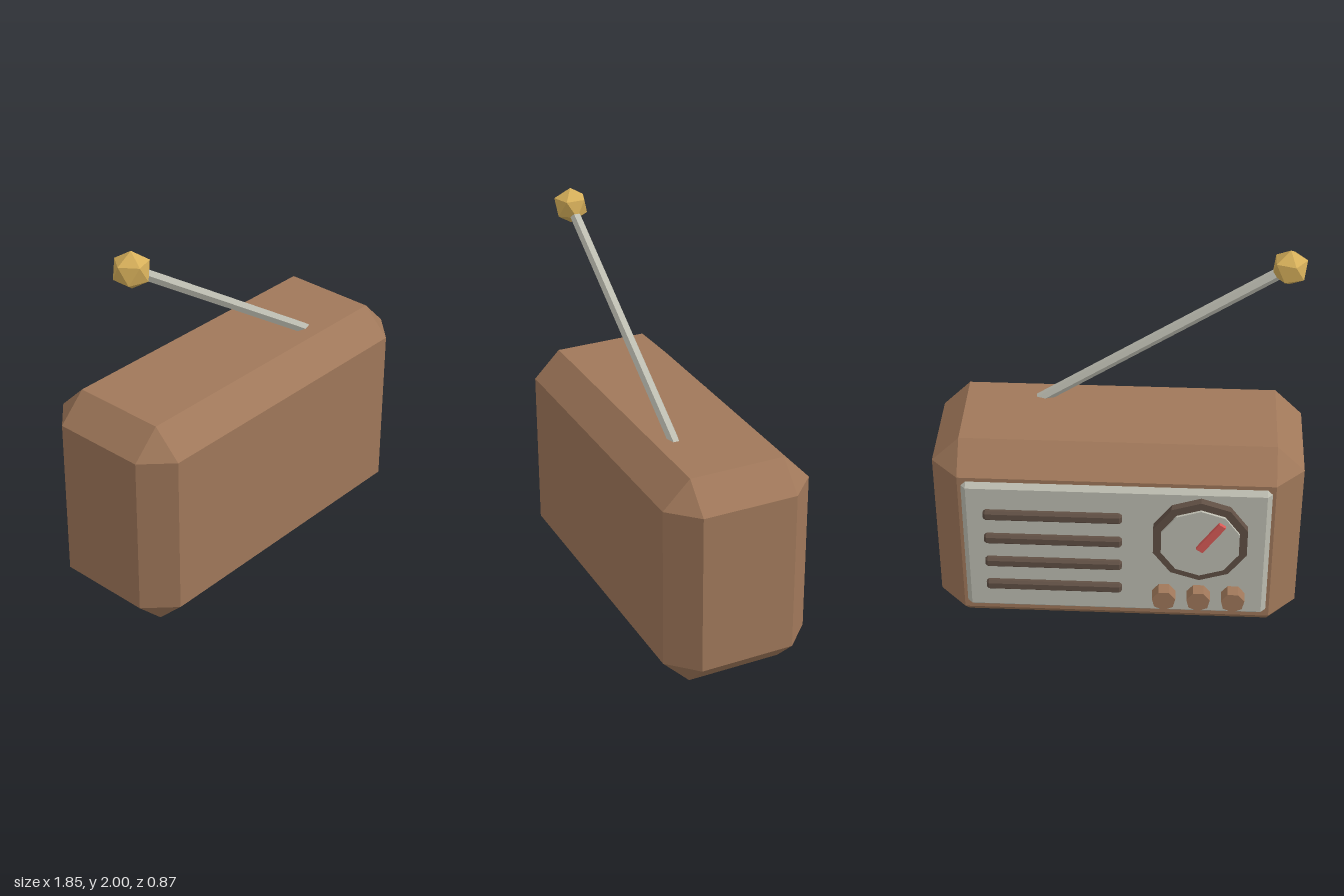
import * as THREE from 'three';
import { ConvexGeometry } from 'three/addons/geometries/ConvexGeometry.js';

const mat = (name, color) => {
  const m = new THREE.MeshStandardMaterial({ color, flatShading: true });
  m.name = name;
  return m;
};

// Box with every edge and corner cut at 45 degrees
function chamferBox(w, h, d, c) {
  const [x, y, z] = [w / 2, h / 2, d / 2];
  const pts = [];
  for (const i of [-1, 1]) for (const j of [-1, 1]) for (const k of [-1, 1]) {
    pts.push(
      new THREE.Vector3(i * x, j * (y - c), k * (z - c)),
      new THREE.Vector3(i * (x - c), j * y, k * (z - c)),
      new THREE.Vector3(i * (x - c), j * (y - c), k * z));
  }
  return new ConvexGeometry(pts);
}

// Disc whose axis runs along z
const disc = (r, depth, sides) => new THREE.CylinderGeometry(r, r, depth, sides).rotateX(Math.PI / 2);

export function createModel() {
  const group = new THREE.Group();
  const wood = mat('brown wood', 0xa0785a);
  const metal = mat('pale grey metal', 0xbebeb2);
  const dark = mat('dark brown', 0x604f44);
  const gold = mat('gold', 0xd6af5a);
  const red = mat('red', 0xd85a56);

  const add = (name, geometry, material, x, y, z) => {
    const mesh = new THREE.Mesh(geometry, material);
    mesh.name = name;
    mesh.position.set(x, y, z);
    group.add(mesh);
    return mesh;
  };

  // Cabinet and control panel
  add('cabinet', chamferBox(1.85, 1.12, 0.77, 0.14), wood, 0, 0.56, 0.048);
  add('controlPanel', chamferBox(1.54, 0.8, 0.08, 0.027), metal, 0, 0.56, -0.322);

  // Speaker slats
  for (let i = 0; i < 4; i++) {
    add('speakerSlat' + (i + 1), chamferBox(0.69, 0.056, 0.05, 0.012), dark, 0.315, 0.78 - i * 0.15, -0.365);
  }

  // Tuning dial
  add('dialBezel', disc(0.246, 0.06, 10), dark, -0.42, 0.67, -0.372);
  add('dialFace', disc(0.204, 0.04, 10), metal, -0.42, 0.67, -0.395);
  const needle = add('dialNeedle', new THREE.BoxGeometry(0.04, 0.195, 0.022), red, -0.472, 0.72, -0.423);
  needle.rotation.z = 0.6;

  // Knobs
  for (let i = 0; i < 3; i++) {
    add('knob' + (i + 1), disc(0.061, 0.08, 7), wood, -0.595 + i * 0.175, 0.3, -0.39);
  }

  // Aerial rod with a faceted tip
  const base = new THREE.Vector3(0.45, 1.077, 0.19);
  const tip = new THREE.Vector3(-0.81, 1.907, 0.19);
  const dir = tip.clone().sub(base);
  const mid = base.clone().add(tip).multiplyScalar(0.5);
  const rod = add('aerialRod', new THREE.CylinderGeometry(0.029, 0.029, dir.length(), 6), metal, mid.x, mid.y, mid.z);
  rod.rotation.z = Math.atan2(-dir.x, dir.y);
  const ball = add('aerialTip', new THREE.IcosahedronGeometry(0.093, 0), gold, tip.x, tip.y, tip.z);
  ball.rotation.z = 0.5536;

  return group;
}
